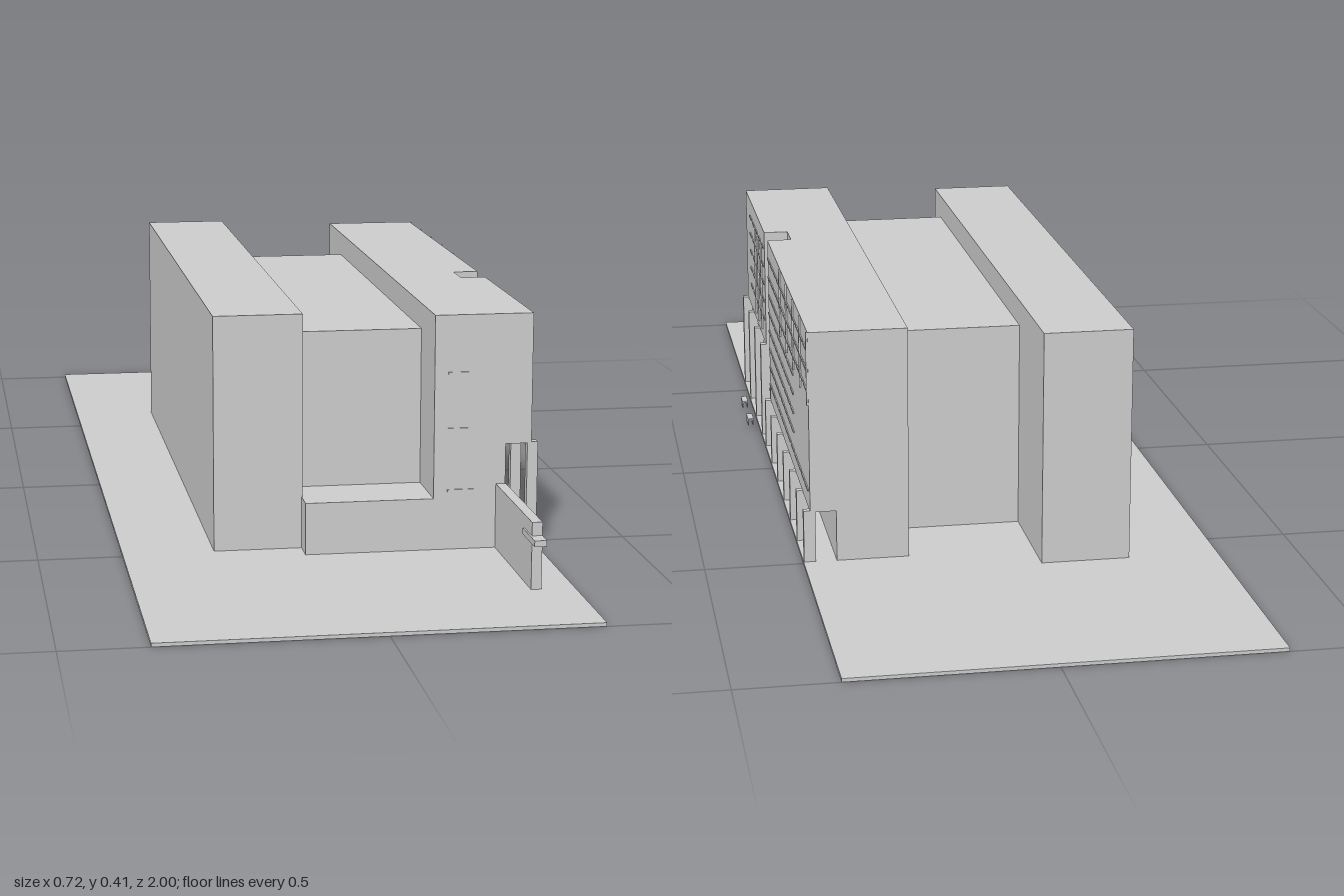
import * as THREE from 'three';

export function createModel() {
  const model = new THREE.Group();
  const mat = new THREE.MeshStandardMaterial({ color: 0xcccccc, flatShading: true });

  // Box given by its limits on each axis
  function box(name, x0, x1, y0, y1, z0, z1, parent = model) {
    const mesh = new THREE.Mesh(new THREE.BoxGeometry(x1 - x0, y1 - y0, z1 - z0), mat);
    mesh.position.set((x0 + x1) / 2, (y0 + y1) / 2, (z0 + z1) / 2);
    mesh.name = name;
    parent.add(mesh);
    return mesh;
  }
  function group(name) {
    const g = new THREE.Group();
    g.name = name;
    model.add(g);
    return g;
  }

  const G = 0.006;    // ground level
  const TOP = 0.405;  // roof of the tall wings
  const FACE = 0.323; // street facade

  box('groundSlab', -0.36, 0.335, 0, G, -1, 1);

  // Tall rear wing, central hall and low entrance block
  box('rearWing', -0.207, -0.057, G, TOP, -0.58, 0.51);
  box('centralHall', -0.057, 0.157, G, 0.362, -0.375, 0.44);
  box('lowBlock', -0.059, 0.157, G, 0.094, 0.44, 0.555);

  // Street wing: a full-height core with two volumes overhanging the pavement,
  // separated by a vertical notch
  const wing = group('streetWing');
  box('wingCore', 0.157, 0.279, G, TOP, -0.51, 0.555, wing);
  box('longOverhang', 0.279, FACE, 0.094, TOP, -0.51, 0.128, wing);
  box('shortOverhang', 0.279, FACE, 0.184, TOP, 0.19, 0.555, wing);

  // Columns under the overhangs
  const columns = group('columns');
  for (let i = 0; i < 7; i++) {
    const z = 0.123 - i * 0.1043;
    box('lowColumn', 0.314, 0.334, G, 0.096, z - 0.006, z + 0.006, columns);
  }
  for (let i = 0; i < 4; i++) {
    const z = 0.548 - i * 0.1173;
    box('tallColumn', 0.316, 0.334, G, 0.186, z - 0.007, z + 0.007, columns);
  }

  // Shallow window sills, in rows, with a blank patch on the long facade
  const sills = group('windowSills');
  for (let row = 0; row < 8; row++) {
    const y = 0.125 + row * 0.035;
    for (let i = 0; i < 12; i++) {
      const z = 0.1 - i * 0.0521;
      if (z < -0.28 && y > 0.15 && y < 0.27) continue;
      box('sill', FACE, FACE + 0.002, y, y + 0.004, z - 0.02, z + 0.02, sills);
    }
    if (y < 0.2) continue;
    for (let i = 0; i < 5; i++) {
      const z = 0.22 + i * 0.058;
      box('sill', FACE, FACE + 0.002, y, y + 0.004, z - 0.018, z + 0.018, sills);
    }
  }
  for (const y of [0.105, 0.21, 0.305]) {
    box('endSill', 0.18, 0.225, y, y + 0.004, 0.555, 0.557, sills);
  }

  // Slim vertical fins on the upper facade
  const fins = group('facadeFins');
  for (let i = 0; i < 5; i++) {
    const z = -0.09 - i * 0.1043;
    box('fin', FACE, FACE + 0.003, 0.28, TOP, z - 0.002, z + 0.002, fins);
  }
  for (let i = 0; i < 3; i++) {
    const z = 0.249 + i * 0.058;
    box('fin', FACE, FACE + 0.003, 0.2, 0.37, z - 0.002, z + 0.002, fins);
  }

  // Entrance canopy, slightly sloped, on a thin post
  const canopy = box('entranceCanopy', 0.279, 0.318, 0.098, 0.106, 0.14, 0.258);
  canopy.rotation.z = -0.08;
  box('canopyPost', 0.314, 0.319, G, 0.1, 0.178, 0.183);

  // Free-standing garden wall with a projecting ledge
  box('gardenWall', 0.263, 0.28, G, 0.116, 0.555, 0.81);
  box('wallLedge', 0.26, 0.28, 0.084, 0.094, 0.76, 0.84);

  // Two small street benches
  for (const z of [0.26, 0.375]) {
    const bench = group('bench');
    box('benchSeat', 0.346, 0.357, 0.018, 0.021, z - 0.017, z + 0.017, bench);
    for (const x of [0.346, 0.355]) {
      box('benchLeg', x, x + 0.002, 0.007, 0.018, z - 0.015, z + 0.015, bench);
    }
  }

  return model;
}
